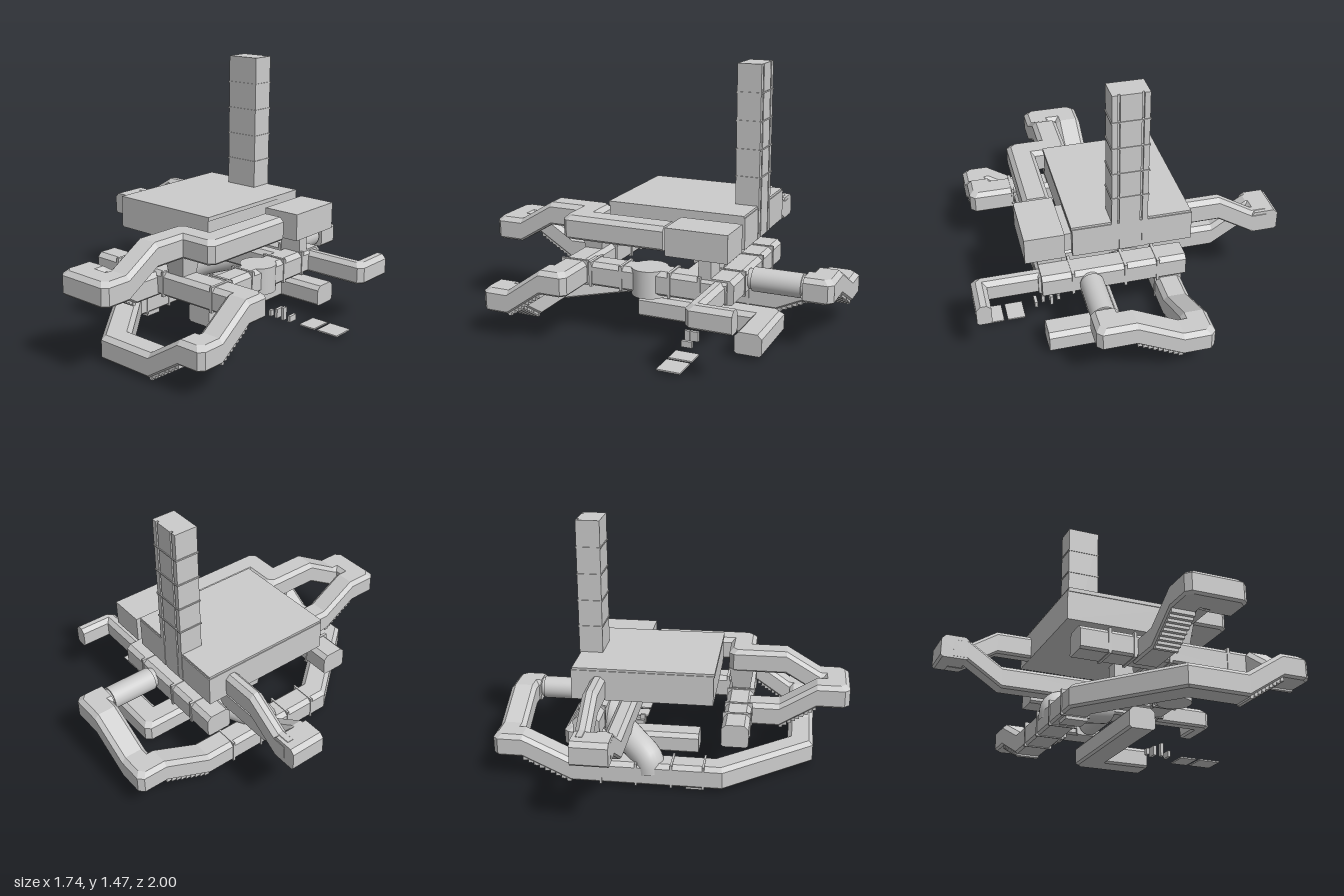
import * as THREE from 'three';

const mat = new THREE.MeshStandardMaterial({ color: 0xcccccc, flatShading: true });
const smooth = new THREE.MeshStandardMaterial({ color: 0xcccccc });

export function createModel() {
  const root = new THREE.Group();

  const add = (name, geo, m = mat) => {
    const mesh = new THREE.Mesh(geo, m);
    mesh.name = name;
    root.add(mesh);
    return mesh;
  };

  // Box given by its extents on each axis
  const box = (name, x0, x1, y0, y1, z0, z1) => {
    const mesh = add(name, new THREE.BoxGeometry(x1 - x0, y1 - y0, z1 - z0));
    mesh.position.set((x0 + x1) / 2, (y0 + y1) / 2, (z0 + z1) / 2);
    return mesh;
  };

  // Corridor with bevelled edges, mitred along a path of centre points, outer corners clipped
  const corridor = (name, path, w = 0.15, h = 0.13) => {
    const a = w / 2, b = h / 2, c = 0.024, d = 0.012, clip = 0.028;
    const section = [[-a + d, -b], [a - d, -b], [a, -b + d], [a, b - c], [a - c, b], [-a + c, b], [-a, b - c], [-a, -b + d]];
    const pts = path.map(p => new THREE.Vector3(...p));
    const flat = (p, q) => new THREE.Vector2(q.x - p.x, q.z - p.z).normalize();
    const pos = [], idx = [], n = section.length;
    pts.forEach((p, i) => {
      const t0 = i > 0 ? flat(pts[i - 1], p) : flat(p, pts[1]);
      const t1 = i < pts.length - 1 ? flat(p, pts[i + 1]) : t0;
      const t = t0.clone().add(t1).normalize();
      const k = 1 / t.dot(t0);
      const turn = t0.x * t1.y - t0.y * t1.x;
      const rings = Math.abs(turn) > 0.8 ? [t0.clone().multiplyScalar(-clip), t1.clone().multiplyScalar(clip)] : [new THREE.Vector2()];
      for (const shift of rings) {
        for (const [s, u] of section) {
          const f = s * turn < 0 ? 1 : 0;
          pos.push(p.x - t.y * s * k + shift.x * f, p.y + u, p.z + t.x * s * k + shift.y * f);
        }
      }
    });
    const last = pos.length / 3 - n;
    for (let r = 0; r < last; r += n) {
      for (let j = 0; j < n; j++) {
        const e = r + j, f = r + (j + 1) % n;
        idx.push(e, e + n, f, f, e + n, f + n);
      }
    }
    for (let j = 1; j < n - 1; j++) {
      idx.push(0, j, j + 1, last, last + j + 1, last + j);
    }
    const g = new THREE.BufferGeometry();
    g.setAttribute('position', new THREE.Float32BufferAttribute(pos, 3));
    g.setIndex(idx);
    const out = g.toNonIndexed();
    out.computeVertexNormals();
    return add(name, out);
  };

  // Row of step blocks hanging under a sloping corridor
  const stairs = (name, from, to, alongX, count = 9, w = 0.13) => {
    const a = new THREE.Vector3(...from), b = new THREE.Vector3(...to);
    const run = Math.abs(alongX ? b.x - a.x : b.z - a.z) / count;
    for (let i = 0; i < count; i++) {
      const p = a.clone().lerp(b, (i + 0.5) / count);
      const m = add(name, new THREE.BoxGeometry(alongX ? run * 0.9 : w, 0.03, alongX ? w : run * 0.9));
      m.position.set(p.x, p.y - 0.066, p.z);
    }
  };

  const cylinder = (name, r, h, x, y, z, alongZ = false) => {
    const m = add(name, new THREE.CylinderGeometry(r, r, h, 32), smooth);
    m.position.set(x, y, z);
    if (alongZ) m.rotation.x = Math.PI / 2;
    return m;
  };

  // Main hall and side room
  box('mainHall', -0.32, 0.33, 0.53, 0.7, -0.53, 0.25);
  box('hallRoof', -0.315, 0.335, 0.69, 0.712, -0.525, 0.255);
  box('sideRoom', 0.37, 0.585, 0.53, 0.68, -0.53, -0.19);
  box('hallLink', 0.32, 0.38, 0.55, 0.66, -0.5, -0.24);

  // Tower with floor bands and rear strips
  box('tower', -0.075, 0.12, 0.53, 1.47, -0.52, -0.4);
  for (const y of [0.865, 1.015, 1.167, 1.318]) box('towerBand', -0.08, 0.125, y - 0.004, y + 0.004, -0.537, -0.396);
  for (const [x0, x1] of [[-0.075, -0.045], [-0.033, 0.078], [0.09, 0.12]]) box('towerRearStrip', x0, x1, 0.53, 1.47, -0.533, -0.515);

  // Upper corridor, hairpin at the front, returning on the middle level
  corridor('upperCorridor', [
    [0.45, 0.595, -0.15], [0.45, 0.595, 0.37], [0.255, 0.595, 0.37], [0.255, 0.595, 0.63],
    [0.255, 0.475, 0.83], [0.255, 0.475, 0.92], [0.07, 0.475, 0.92], [0.07, 0.475, 0.81],
    [0.07, 0.345, 0.6], [0.07, 0.345, 0.37]]);
  stairs('hairpinStep', [0.07, 0.475, 0.81], [0.07, 0.345, 0.6], false);

  // Long corridor: middle level, down around the front, along the base, up at the back
  corridor('longCorridor', [
    [-0.32, 0.355, 0.37], [0.7, 0.355, 0.37], [0.7, 0.355, 0.45], [0.7, 0.215, 0.65],
    [0.7, 0.215, 0.73], [0.62, 0.215, 0.73], [0.42, 0.085, 0.73], [0.12, 0.085, 0.73],
    [-0.25, 0.085, 0.28], [-0.25, 0.085, -0.55], [-0.25, 0.215, -0.83], [-0.25, 0.215, -0.925],
    [-0.15, 0.215, -0.925], [0.1, 0.345, -0.925], [0.235, 0.345, -0.925], [0.235, 0.345, -0.84]]);
  stairs('sideStep', [0.7, 0.355, 0.45], [0.7, 0.215, 0.65], false);
  stairs('frontStep', [0.62, 0.215, 0.73], [0.42, 0.085, 0.73], true);
  stairs('rearStep', [-0.25, 0.085, -0.55], [-0.25, 0.215, -0.83], false);
  stairs('backStep', [-0.15, 0.215, -0.925], [0.1, 0.345, -0.925], true);

  // Forked loop on the right side
  corridor('loopUpperArm', [[-0.3, 0.6, -0.382], [-0.52, 0.6, -0.382], [-0.72, 0.475, -0.382], [-0.8, 0.475, -0.382]], 0.08, 0.135);
  corridor('loopLowerArm', [[-0.8, 0.475, -0.272], [-0.72, 0.475, -0.272], [-0.52, 0.345, -0.272], [0.45, 0.345, -0.272]], 0.105);
  corridor('loopEnd', [[-0.79, 0.475, -0.42], [-0.79, 0.475, -0.22]], 0.16);

  // Middle level corridors and the elbow passage at the left rear
  corridor('middleSideCorridor', [[0.445, 0.345, 0.37], [0.445, 0.345, -0.5]], 0.14);
  corridor('middleBackCorridor', [[-0.3, 0.345, -0.46], [0.5, 0.345, -0.46]], 0.15);
  corridor('elbowPassage', [[0.48, 0.34, -0.45], [0.83, 0.34, -0.45], [0.83, 0.34, -0.66]], 0.08, 0.12);
  for (const x of [-0.16, -0.02, 0.18, 0.52]) box('frontRib', x - 0.008, x + 0.008, 0.285, 0.424, 0.291, 0.449);
  for (const z of [0.28, 0.1, -0.18, -0.35]) box('sideRib', 0.371, 0.519, 0.276, 0.414, z - 0.008, z + 0.008);
  for (const x of [-0.14, 0.04, 0.33]) box('backRib', x - 0.008, x + 0.008, 0.276, 0.414, -0.539, -0.381);

  // Base level corridor
  corridor('baseCorridor', [[0.16, 0.085, 0.13], [0.16, 0.085, -0.615], [0.5, 0.085, -0.615]], 0.15, 0.12);
  for (const z of [0.2, 0.02, -0.18, -0.38]) box('baseRib', -0.329, -0.171, 0.016, 0.154, z - 0.006, z + 0.006);

  // Shafts joining the levels
  box('hallShaft', 0.37, 0.5, 0.4, 0.55, -0.41, -0.34);
  box('innerShaft', 0.15, 0.27, 0.4, 0.55, -0.3, -0.22);
  const flare = add('frontShaft', new THREE.CylinderGeometry(0.1, 0.07, 0.14, 4, 1).rotateY(Math.PI / 4));
  flare.position.set(0.255, 0.475, 0.37);

  // Round room and pipes
  cylinder('roundRoom', 0.1, 0.15, 0.44, 0.335, -0.04);
  cylinder('backPipe', 0.066, 0.27, 0.235, 0.345, -0.69, true);
  for (const z of [-0.83, -0.55]) cylinder('backPipeCollar', 0.056, 0.04, 0.235, 0.345, z, true);
  const curve = new THREE.CatmullRomCurve3([
    [-0.25, 0.08, -0.11], [-0.245, 0.15, -0.12], [-0.17, 0.22, -0.22], [0, 0.275, -0.36], [0.18, 0.32, -0.45]
  ].map(p => new THREE.Vector3(...p)));
  add('curvedPipe', new THREE.TubeGeometry(curve, 32, 0.085, 24), smooth);

  // Loose floor plates and small posts beside the base
  box('floorPlate', 0.58, 0.68, 0.016, 0.024, -0.38, -0.25);
  box('floorPlate', 0.7, 0.83, 0.016, 0.024, -0.38, -0.25);
  for (let i = 0; i < 4; i++) {
    const x = 0.36 + 0.045 * i;
    box('smallPost', x, x + 0.018, 0.015, 0.05 + 0.02 * (i % 3), -0.28 - 0.03 * (i % 2), -0.25);
  }
  box('baseFoot', -0.3, -0.18, 0, 0.025, 0.1, 0.2);

  return root;
}
